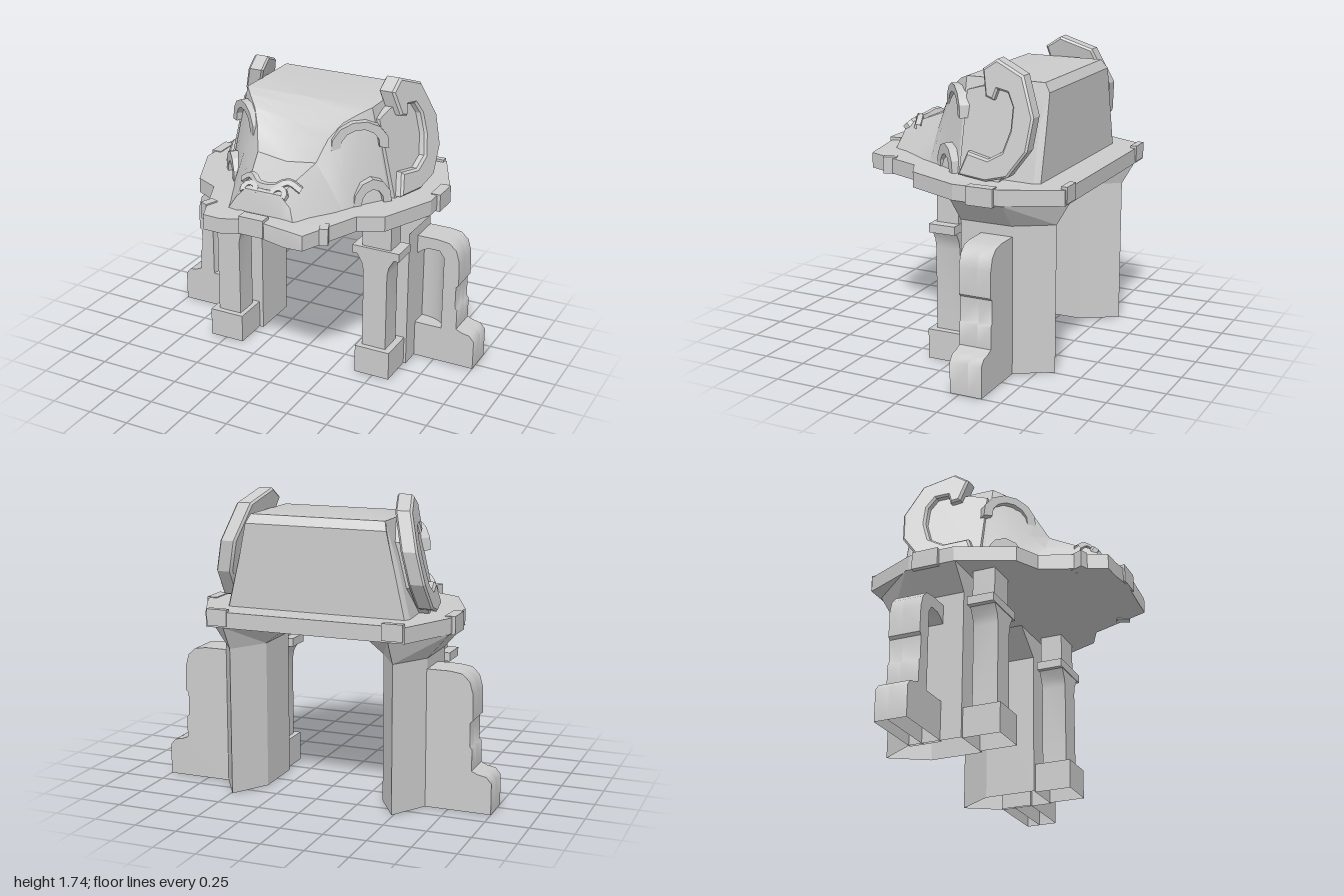
import * as THREE from 'three';
import { toCreasedNormals } from 'three/addons/utils/BufferGeometryUtils.js';

const material = new THREE.MeshStandardMaterial({ color: 0xcccccc, side: THREE.DoubleSide });

// Closed solid through rings of equal point count, capped at both ends
function loft(rings) {
  const n = rings[0].length, index = [];
  for (let i = 0; i < rings.length - 1; i++) {
    for (let j = 0; j < n; j++) {
      const a = i * n + j, b = i * n + (j + 1) % n, c = a + n, d = b + n;
      index.push(a, b, c, b, d, c);
    }
  }
  const end = (rings.length - 1) * n;
  for (let j = 1; j < n - 1; j++) index.push(0, j + 1, j, end, end + j, end + j + 1);
  const g = new THREE.BufferGeometry();
  g.setAttribute('position', new THREE.Float32BufferAttribute(rings.flat(2), 3));
  g.setIndex(index);
  return g;
}

const vectors = (points) => points.map(([x, y]) => new THREE.Vector2(x, y));

// Extrusion of an outline, with optional hole outlines
function extrude(points, depth, bevel = 0, holes = []) {
  const shape = new THREE.Shape(vectors(points));
  holes.forEach((h) => shape.holes.push(new THREE.Path(vectors(h))));
  return new THREE.ExtrudeGeometry(shape, {
    depth, bevelEnabled: bevel > 0,
    bevelSize: bevel, bevelThickness: bevel, bevelOffset: -bevel, bevelSegments: 1,
  });
}

function box(x0, x1, y0, y1, z0, z1) {
  return new THREE.BoxGeometry(x1 - x0, y1 - y0, z1 - z0)
    .translate((x0 + x1) / 2, (y0 + y1) / 2, (z0 + z1) / 2);
}

// Flat curved band with square ends
function band(r0, r1, from, to, depth, n = 8) {
  const pts = [];
  const at = (r, i) => { const a = from + (to - from) * i / n; return [r * Math.cos(a), r * Math.sin(a)]; };
  for (let i = 0; i <= n; i++) pts.push(at(r1, i));
  for (let i = n; i >= 0; i--) pts.push(at(r0, i));
  return extrude(pts, depth);
}

// Move vertices by a rule
function warp(g, rule) {
  const p = g.attributes.position, v = new THREE.Vector3();
  for (let i = 0; i < p.count; i++) {
    rule(v.fromBufferAttribute(p, i));
    p.setXYZ(i, v.x, v.y, v.z);
  }
  return g;
}

// Leave out the faces lying on the ground, so the foot is open
function openBase(source) {
  const p = (source.index ? source.toNonIndexed() : source).attributes.position, kept = [];
  for (let i = 0; i < p.count; i += 3) {
    const corners = [i, i + 1, i + 2];
    if (corners.some((k) => p.getY(k) > 0.001)) corners.forEach((k) => kept.push(p.getX(k), p.getY(k), p.getZ(k)));
  }
  return new THREE.BufferGeometry().setAttribute('position', new THREE.Float32BufferAttribute(kept, 3));
}

// Copy reflected in x, with the corner order kept outward
function mirrored(g) {
  const m = g.index ? g.toNonIndexed() : g.clone();
  const p = m.attributes.position, src = p.clone();
  for (let i = 0; i < p.count; i += 3) {
    [0, 2, 1].forEach((k, j) => p.setXYZ(i + j, -src.getX(i + k), src.getY(i + k), src.getZ(i + k)));
  }
  return m;
}

export function createModel() {
  const model = new THREE.Group();
  model.name = 'shrine';

  const add = (name, g, crease = 0.5) => {
    g.deleteAttribute('normal');
    g.deleteAttribute('uv');
    const mesh = new THREE.Mesh(toCreasedNormals(g, crease), material);
    mesh.name = name;
    model.add(mesh);
  };
  const addPair = (name, g, crease) => {
    const other = mirrored(g);
    add(name + 'Left', g, crease);
    add(name + 'Right', other, crease);
  };

  // Five-sided piers flaring out under the slab
  const pierRing = [[0.62, -0.07], [0.62, -0.38], [0.49, -0.59], [0.36, -0.38], [0.36, -0.07]];
  const flareRing = [[0.74, -0.07], [0.74, -0.38], [0.49, -0.67], [0.18, -0.38], [0.18, -0.07]];
  const level = (ring, y) => ring.map(([x, z]) => [x, y, z]);
  addPair('pier', openBase(loft([level(pierRing, 0), level(pierRing, 0.86), level(flareRing, 1)])), 0.1);

  // Front columns: plinth, shaft, cap and block
  addPair('columnPlinth', openBase(box(0.385, 0.605, 0, 0.175, -0.07, 0.15)));
  const shaftRing = (h, y) => level([[0.49 + h, 0.115], [0.49 + h, -0.035], [0.49 - h, -0.035], [0.49 - h, 0.115]], y);
  addPair('columnShaft', loft([shaftRing(0.075, 0.17), shaftRing(0.075, 0.66),
    shaftRing(0.085, 0.71), shaftRing(0.12, 0.77)]));
  addPair('columnCap', box(0.345, 0.64, 0.765, 0.815, -0.04, 0.12));
  addPair('columnBlock', box(0.4, 0.58, 0.81, 1.01, -0.035, 0.1));

  // Stepped side buttresses with a curved niche in the front
  const outline = [[0.6, 0], [1, 0], [1, 0.18], [0.97, 0.215], [0.92, 0.225], [0.885, 0.24], [0.885, 0.365],
    [0.872, 0.38], [0.872, 0.515], [0.888, 0.53], [0.885, 0.68], [0.865, 0.75], [0.82, 0.79], [0.75, 0.8], [0.6, 0.8]];
  const nicheOutline = [[0.61, 0.225], [0.61, 0.68], [0.65, 0.71], [0.69, 0.73], [0.76, 0.73], [0.79, 0.69], [0.79, 0.225]];
  addPair('buttressBack', openBase(extrude(outline, 0.08).translate(0, 0, -0.385)), 0.8);
  addPair('buttressFront', openBase(extrude(outline, 0.11, 0, [nicheOutline]).translate(0, 0, -0.305)), 0.8);
  addPair('niche', new THREE.CylinderGeometry(0.17, 0.17, 0.505, 8, 1, true, Math.PI / 2, Math.PI / 2)
    .scale(1, 1, 0.6).translate(0.62, 0.477, -0.2));

  // Slab with an arched front lip
  const half = [[0, -0.68], [0.59, -0.68], [0.74, -0.36], [0.74, -0.08], [0.6, 0.24], [0.46, 0.31],
    [0.31, 0.675], [0.2, 0.68], [0.1, 0.68], [0, 0.68]];
  const slabOutline = [...half, ...half.slice(1, -1).reverse().map(([x, z]) => [-x, z])].map(([x, z]) => [x, -z]);
  const lift = (v) => {
    if (v.z > 0.5 && Math.abs(v.x) < 0.2) v.y += 0.035 * Math.cos(v.x * Math.PI / 0.4) ** 2;
  };
  add('slab', warp(extrude(slabOutline, 0.09).rotateX(-Math.PI / 2).translate(0, 1, 0), lift), 0.3);

  // Clamps gripping the slab rim
  addPair('sideClamp', box(0.7, 0.76, 0.99, 1.095, -0.33, -0.17));
  add('frontClamp', box(-0.075, 0.075, 1.03, 1.135, 0.62, 0.69));
  addPair('cornerClamp', new THREE.BoxGeometry(0.05, 0.1, 0.08).rotateY(0.38).translate(0.365, 1.048, 0.52));
  addPair('backClamp', box(0.46, 0.58, 1.01, 1.105, -0.688, -0.65));

  // Head: sections from the back wall to the muzzle
  // [z, top height, top half width, brow half width, base half width, dip of the forehead]
  const sections = [[-0.51, 1.57, 0.42, 0.46, 0.53, 0], [-0.475, 1.62, 0.4, 0.47, 0.55, 0], [0, 1.62, 0.4, 0.45, 0.52, 0],
    [0.06, 1.595, 0.35, 0.41, 0.48, 0.015], [0.13, 1.55, 0.28, 0.36, 0.43, 0.045], [0.2, 1.47, 0.225, 0.31, 0.39, 0.06],
    [0.27, 1.345, 0.185, 0.26, 0.355, 0.025], [0.42, 1.285, 0.14, 0.21, 0.29, 0.02],
    [0.55, 1.24, 0.11, 0.17, 0.235, 0], [0.585, 1.09, 0.1, 0.15, 0.21, 0]];
  add('head', loft(sections.map(([z, y, t, m, b, dip]) => {
    const mid = 1.08 + (y - 1.08) * 0.6;
    return [[-b, 1.08, z], [b, 1.08, z], [m, mid, z], [t, y, z], [0, y - dip, z], [-t, y, z], [-m, mid, z]];
  })), 0.45);

  // Side panels and curled horns, leaning inward as they rise and toward the front
  const lean = (v) => { v.x -= 0.23 * (v.y - 1.19) + 0.2 * (v.z + 0.35); };
  const side = (pts, depth, x, bevel) =>
    warp(extrude(pts.map(([z, y]) => [-z, y]), depth, bevel).rotateY(Math.PI / 2).translate(x, 0, 0), lean);
  addPair('sidePanel', side([[-0.02, 1.08], [-0.28, 1.08], [-0.42, 1.25], [-0.42, 1.5], [-0.32, 1.6], [-0.12, 1.58],
    [-0.02, 1.55]], 0.12, 0.465, 0));
  addPair('horn', side([[-0.22, 1.09], [-0.36, 1.13], [-0.47, 1.28], [-0.49, 1.46], [-0.4, 1.67], [-0.22, 1.74],
    [-0.13, 1.68], [-0.165, 1.535], [-0.22, 1.52], [-0.24, 1.58], [-0.31, 1.57], [-0.35, 1.5], [-0.35, 1.38],
    [-0.31, 1.26], [-0.22, 1.21], [-0.08, 1.23], [-0.03, 1.1]], 0.075, 0.54, 0.012), 0.4);

  // Brow arches and lower cheek arches
  addPair('brow', band(0.115, 0.17, -0.15, 3.8, 0.08).scale(1, 0.85, 1).rotateY(0.7).translate(0.325, 1.42, 0.04));
  addPair('cheekArch', band(0.07, 0.12, -0.1, Math.PI + 0.1, 0.1, 6).scale(1, 1.25, 1)
    .rotateY(0.85).translate(0.39, 1.09, 0.045), 0.3);

  // Nose ridge with two curled nostrils
  const ridge = [[-0.18, 1.24, 0.44], [-0.11, 1.285, 0.46], [-0.05, 1.26, 0.5], [0.05, 1.26, 0.5],
    [0.11, 1.285, 0.46], [0.18, 1.24, 0.44]].map((p) => new THREE.Vector3(...p));
  add('noseRidge', new THREE.TubeGeometry(new THREE.CatmullRomCurve3(ridge), 16, 0.025, 5));
  addPair('nostril', band(0.025, 0.055, -0.4, 3.4, 0.05, 6).rotateX(-0.8).translate(0.09, 1.205, 0.51));

  return model;
}
